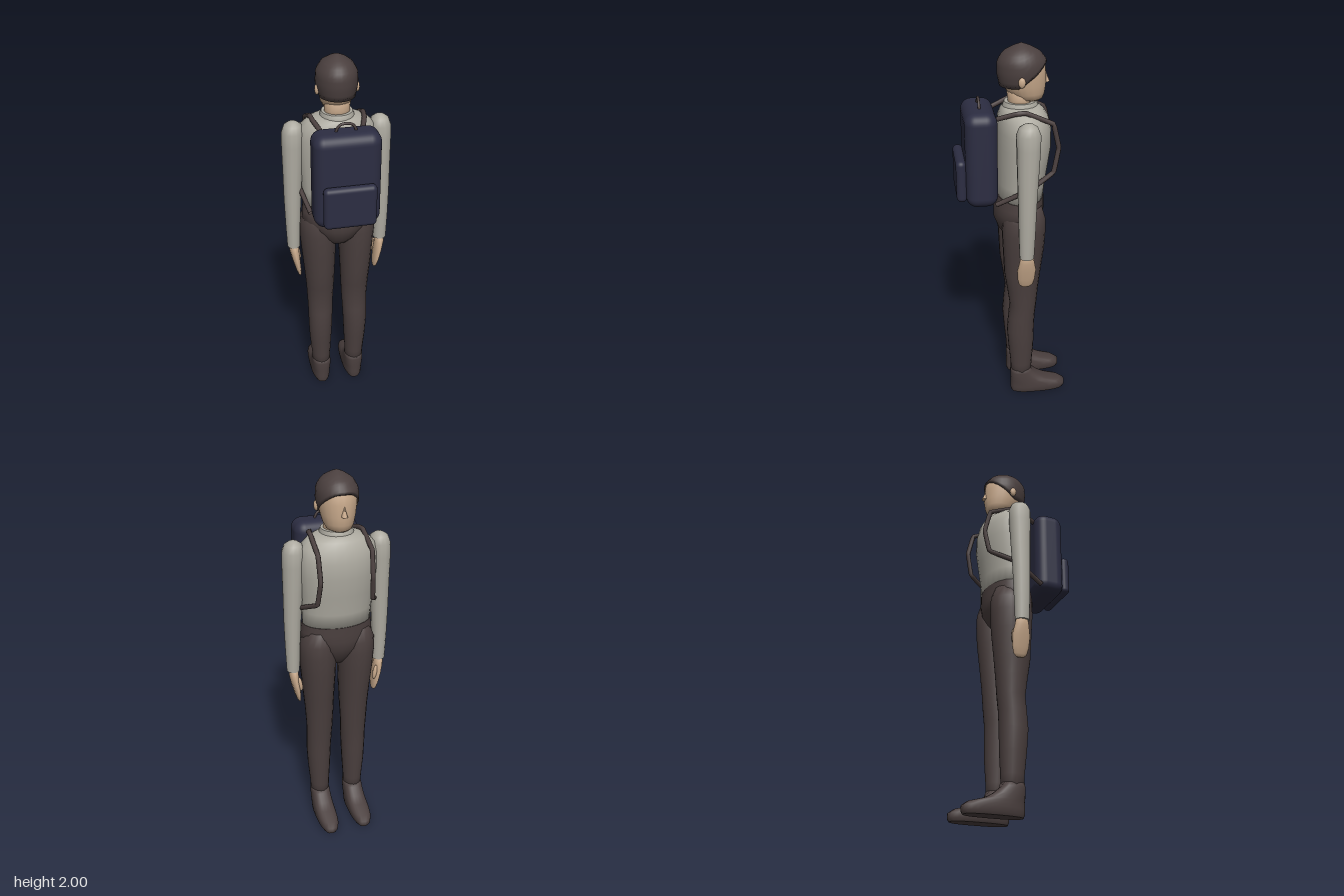
import * as THREE from 'three';
import { RoundedBoxGeometry } from 'three/addons/geometries/RoundedBoxGeometry.js';

const mat = (name, color) => {
  const m = new THREE.MeshStandardMaterial({ color, side: THREE.DoubleSide });
  m.name = name;
  return m;
};

// Closed rings of points stacked upward, capped at both ends when asked.
function rings(rows, cols, point, capped = true) {
  const pos = [], idx = [];
  for (let i = 0; i < rows; i++)
    for (let j = 0; j < cols; j++) pos.push(...point(i, (j / cols) * Math.PI * 2));
  for (let i = 0; i < rows - 1; i++)
    for (let j = 0; j < cols; j++) {
      const a = i * cols + j, b = i * cols + (j + 1) % cols;
      idx.push(a, a + cols, b, b, a + cols, b + cols);
    }
  if (capped) {
    for (const row of [0, rows - 1]) {
      const c = pos.length / 3, s = row * cols, mid = [0, 0, 0];
      for (let j = 0; j < cols; j++)
        for (let k = 0; k < 3; k++) mid[k] += pos[(s + j) * 3 + k] / cols;
      pos.push(...mid);
      for (let j = 0; j < cols; j++) {
        const a = s + j, b = s + (j + 1) % cols;
        if (row === 0) idx.push(c, a, b); else idx.push(c, b, a);
      }
    }
  }
  const g = new THREE.BufferGeometry();
  g.setAttribute('position', new THREE.Float32BufferAttribute(pos, 3));
  g.setIndex(idx);
  g.computeVertexNormals();
  return g;
}

// One point on an oval section [y, rx, rz, cz, cx]; a higher power is squarer.
function oval([y, rx, rz, cz, cx = 0], t, power = 2) {
  const f = v => Math.sign(v) * Math.abs(v) ** (2 / power);
  return [cx + rx * f(Math.cos(t)), y, cz + rz * f(Math.sin(t))];
}
const loft = (sections, cols = 20, power = 2) =>
  rings(sections.length, cols, (i, t) => oval(sections[i], t, power));

export function createModel() {
  const group = new THREE.Group();
  const brown = mat('dark brown', 0x4a3f3e);
  const navy = mat('navy', 0x2c2d42);
  const shirt = mat('warm grey', 0xaeaba1);
  const skin = mat('skin', 0xc9aa8c);

  const add = (name, geo, material, parent = group) => {
    const m = new THREE.Mesh(geo, material);
    m.name = name;
    parent.add(m);
    return m;
  };
  const blob = (name, material, p, s) => {
    const m = add(name, new THREE.SphereGeometry(1, 12, 8), material);
    m.position.set(...p);
    m.scale.set(...s);
    return m;
  };

  // Torso, collar and neck
  add('torso', loft([
    [1.2, .178, .116, -.042], [1.3, .183, .122, -.046], [1.4, .192, .13, -.053],
    [1.5, .2, .137, -.06], [1.58, .2, .135, -.06], [1.64, .188, .125, -.055],
    [1.675, .15, .108, -.05], [1.69, .11, .095, -.046], [1.7, .08, .085, -.043],
  ], 24), shirt);
  add('collar', loft([
    [1.675, .088, .09, -.042], [1.7, .085, .088, -.042],
    [1.718, .078, .08, -.042], [1.718, .078, .08, -.042],
  ]), shirt);
  add('neck', loft([[1.68, .066, .062, -.04], [1.73, .064, .06, -.04], [1.8, .066, .065, -.035]]), skin);

  // Head
  add('head', loft([
    [1.72, .04, .045, -.09], [1.732, .062, .07, -.083], [1.76, .076, .09, -.072],
    [1.8, .086, .108, -.06], [1.86, .096, .117, -.05], [1.92, .094, .113, -.048],
    [1.96, .07, .08, -.046], [1.985, .03, .035, -.046], [1.995, .004, .004, -.046],
  ], 20), skin);
  for (const s of [1, -1]) blob('ear', skin, [s * .099, 1.833, -.036], [.012, .026, .018]);
  const nose = add('nose', new THREE.ConeGeometry(.016, .05, 8), skin);
  nose.position.set(0, 1.832, -.167);
  nose.scale.z = 1.2;

  // Hair cap: hairline low at the back, rising to the forehead
  const cap = [
    [1.78, .085, .1, -.04], [1.8, .091, .106, -.044], [1.86, .104, .124, -.05],
    [1.92, .1, .12, -.049], [1.96, .076, .09, -.047], [1.985, .038, .044, -.046], [2, .003, .003, -.046],
  ];
  const capAt = y => {
    const i = Math.min(cap.findIndex((c, k) => k === cap.length - 2 || y < cap[k + 1][0]), cap.length - 2);
    const u = (y - cap[i][0]) / (cap[i + 1][0] - cap[i][0]);
    return cap[i].map((v, k) => v + (cap[i + 1][k] - v) * u);
  };
  add('hair', rings(13, 28, (i, t) => {
    const rise = THREE.MathUtils.clamp((-Math.sin(t) + .15) / 1.1, 0, 1);
    const low = 1.798 + .115 * rise, u = i / 12;
    return oval(capAt(low + (2 - low) * (1 - (1 - u) ** 1.6)), t);
  }), brown);

  // Hips
  add('hips', loft([
    [.985, .07, .06, -.03], [1.03, .11, .1, -.028], [1.09, .16, .127, -.032],
    [1.14, .19, .13, -.034], [1.18, .188, .127, -.037], [1.225, .181, .121, -.042],
    [1.225, .181, .121, -.042],
  ], 24), brown);

  for (const s of [1, -1]) {
    // Trouser leg
    add('leg', loft([
      [.12, .05, .058, -.04, .097], [.2, .053, .06, -.04, .098], [.32, .062, .07, -.038, .1],
      [.43, .067, .075, -.035, .1], [.52, .069, .073, -.04, .098], [.6, .072, .073, -.048, .097],
      [.7, .077, .084, -.045, .097], [.8, .083, .097, -.043, .099], [.95, .093, .109, -.048, .102],
      [1.05, .098, .114, -.048, .104], [1.12, .094, .11, -.05, .104], [1.19, .07, .09, -.05, .1],
    ].map(r => [...r.slice(0, 4), s * r[4]]), 18), brown);

    // Shoe
    add('shoe', loft([
      [0, .046, .15, -.135], [0, .046, .15, -.135], [.015, .054, .157, -.137],
      [.04, .057, .157, -.137], [.06, .056, .143, -.123], [.08, .055, .106, -.086],
      [.105, .054, .083, -.062], [.14, .053, .062, -.041], [.16, .05, .058, -.04],
    ].map(r => [...r, s * .097]), 24, 2.6), brown);

    // Sleeve and hand
    add('sleeve', loft([
      [.96, .034, .037, -.045, .236], [.96, .034, .037, -.045, .236], [1.1, .039, .043, -.045, .236],
      [1.25, .045, .047, -.046, .233], [1.4, .05, .053, -.048, .228], [1.55, .055, .059, -.05, .224],
      [1.62, .055, .06, -.05, .222], [1.655, .044, .046, -.05, .22], [1.67, .022, .024, -.05, .22],
      [1.674, .003, .003, -.05, .22],
    ].map(r => [...r.slice(0, 4), s * r[4]]), 14), shirt);
    add('hand', loft([
      [.77, .006, .02, -.046, .208], [.785, .011, .036, -.046, .211], [.82, .016, .045, -.046, .217],
      [.88, .022, .049, -.046, .227], [.93, .025, .039, -.046, .234], [.975, .026, .03, -.046, .236],
    ].map(r => [...r.slice(0, 4), s * r[4]]), 12), skin);
    const thumb = blob('thumb', skin, [s * .208, .885, -.078], [.012, .042, .013]);
    thumb.rotation.z = -s * .15;

    // Shoulder strap: over the shoulder, down the chest, back under the arm
    const path = [
      [.095, 1.655, .1], [.128, 1.69, 0], [.133, 1.695, -.05], [.135, 1.635, -.185],
      [.132, 1.51, -.215], [.142, 1.385, -.19], [.2, 1.32, -.06], [.165, 1.235, .1],
    ].map(p => new THREE.Vector3(s * p[0], p[1], p[2]));
    add('strap', new THREE.TubeGeometry(
      new THREE.CatmullRomCurve3(path, false, 'catmullrom', .05), 50, .0125, 8), brown);
  }

  // Backpack with pocket and carry handle
  add('backpack', new RoundedBoxGeometry(.332, .49, .16, 5, .055), navy).position.set(0, 1.455, .165);
  add('pocket', new RoundedBoxGeometry(.262, .22, .052, 4, .024), navy).position.set(0, 1.347, .266);
  const arch = [[-.05, 1.685], [-.045, 1.71], [-.025, 1.732], [.025, 1.732], [.045, 1.71], [.05, 1.685]]
    .map(([x, y]) => new THREE.Vector3(x, y, .165));
  add('handle', new THREE.TubeGeometry(new THREE.CatmullRomCurve3(arch), 20, .007, 8), brown);

  return group;
}
